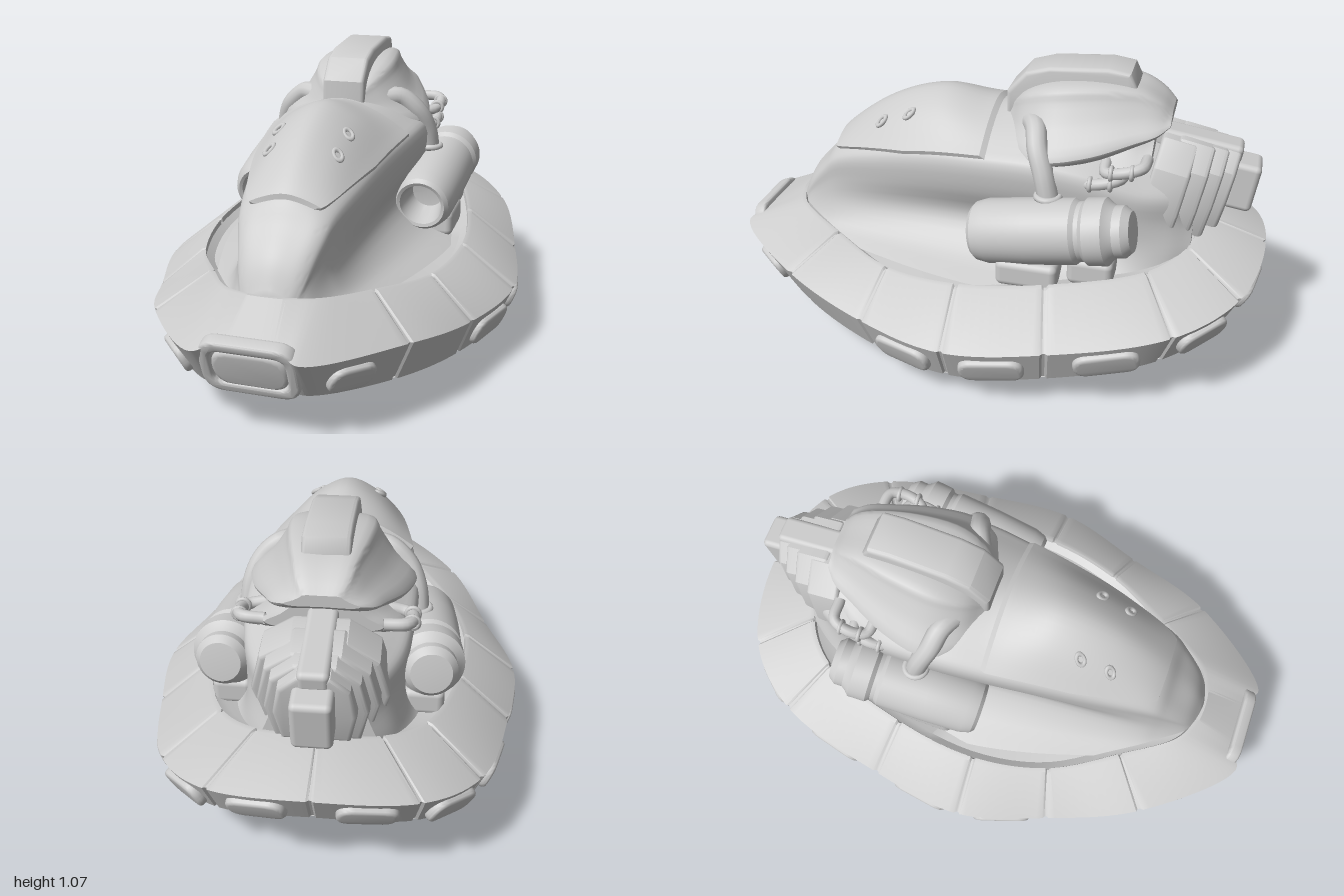
import * as THREE from 'three';
import { toCreasedNormals } from 'three/addons/utils/BufferGeometryUtils.js';
import { RoundedBoxGeometry } from 'three/addons/geometries/RoundedBoxGeometry.js';

const V = (x, y, z) => new THREE.Vector3(x, y, z);
const mat = new THREE.MeshStandardMaterial({ color: 0xcccccc, side: THREE.DoubleSide });
const lerp = THREE.MathUtils.lerp;
const spline = (pts, closed = false) => new THREE.CatmullRomCurve3(pts, closed);

function add(parent, name, geo, pos) {
  const m = new THREE.Mesh(geo, mat);
  m.name = name;
  if (pos) m.position.set(...pos);
  parent.add(m);
  return m;
}

// Skin through equal-length rows of points
function loft(rows, crease = 0.6) {
  const w = rows[0].length, pos = [], idx = [];
  rows.forEach(r => r.forEach(p => pos.push(p.x, p.y, p.z)));
  for (let i = 0; i < rows.length - 1; i++)
    for (let j = 0; j < w - 1; j++) {
      const a = i * w + j, b = a + w;
      idx.push(a, a + 1, b, a + 1, b + 1, b);
    }
  const g = new THREE.BufferGeometry();
  g.setAttribute('position', new THREE.Float32BufferAttribute(pos, 3));
  g.setIndex(idx);
  return toCreasedNormals(g, crease);
}

// Smooth symmetric surface: a half profile per station, mirrored and splined both ways
function surface(stations, halfProfile) {
  const profs = stations.map(s => {
    const h = halfProfile(s).map(([x, y]) => V(x, y, s[0]));
    return [...h, ...h.slice(0, -1).reverse().map(p => V(-p.x, p.y, p.z))];
  });
  const rails = profs[0].map((_, k) => spline(profs.map(p => p[k])));
  return u => spline(rails.map(r => r.getPoint(u)));
}

function skin(section, nu, nv) {
  const rows = [];
  for (let i = 0; i <= nu; i++) rows.push(section(i / nu).getPoints(nv));
  const cap = row => {
    const c = row.reduce((s, p) => s.add(p), V(0, 0, 0)).divideScalar(row.length);
    return row.map(() => c.clone());
  };
  return loft([cap(rows[0]), ...rows, cap(rows[nu])]);
}

function roundedRect(w, h, r, Type = THREE.Shape) {
  const s = new Type(), x = w / 2, y = h / 2;
  s.moveTo(-x + r, -y).lineTo(x - r, -y).quadraticCurveTo(x, -y, x, -y + r);
  s.lineTo(x, y - r).quadraticCurveTo(x, y, x - r, y);
  s.lineTo(-x + r, y).quadraticCurveTo(-x, y, -x, y - r);
  s.lineTo(-x, -y + r).quadraticCurveTo(-x, -y, -x + r, -y);
  return s;
}

const polygon = pts => new THREE.Shape(pts.map(p => new THREE.Vector2(...p)));

function extrude(shape, depth, bevel) {
  return toCreasedNormals(new THREE.ExtrudeGeometry(shape, {
    depth, bevelSize: bevel, bevelThickness: bevel, bevelSegments: 3, curveSegments: 8 }), 0.6);
}

// Skirt edge lines from stern to bow: outer edge, top inner edge, lower edge
const EDGES = [
  [[0, .43, -1], [0, .5, -.76], [0, .3, -.93]],
  [[.34, .39, -.93], [.2, .48, -.73], [.32, .26, -.87]],
  [[.53, .33, -.73], [.34, .45, -.61], [.49, .2, -.69]],
  [[.64, .26, -.32], [.45, .41, -.28], [.59, .12, -.31]],
  [[.68, .23, .03], [.48, .38, .03], [.62, .09, .03]],
  [[.58, .23, .36], [.42, .365, .31], [.53, .09, .33]],
  [[.44, .285, .69], [.28, .39, .55], [.38, .13, .65]],
  [[.17, .315, .99], [.16, .42, .73], [.17, .16, .88]],
  [[.11, .33, .965], [.09, .427, .77], [.1, .165, .885]],
  [[0, .335, .955], [0, .43, .785], [0, .165, .885]],
];
const N = 18;
const LOOP = [...EDGES, ...EDGES.slice(1, -1).reverse().map(e => e.map(([x, y, z]) => [-x, y, z]))];
const [outer, topIn, lower] = [0, 1, 2].map(k => spline(LOOP.map(e => V(...e[k])), true));
const JOINTS = [0, 1, 2, 3, 4, 5, 6, 12, 13, 14, 15, 16, 17, 18];

function skirt(g) {
  // Segmented skirt: cross-sections shrink at each joint to form grooves
  const ts = [];
  JOINTS.forEach((j, i) => {
    ts.push([j - .035, 0], [j - .012, 1], [j + .012, 1], [j + .035, 0]);
    const next = JOINTS[i + 1];
    const n = (next - j) * 10;
    for (let k = 1; k < n; k++) ts.push([lerp(j, next, k / n), 0]);
  });
  const row = ([t, groove]) => {
    const u = ((t + N) % N) / N;
    const M = outer.getPoint(u), T = topIn.getPoint(u), L = lower.getPoint(u);
    const I = V(T.x * .94, T.y - .14, T.z * .94), J = V(L.x * .8, L.y + .04, L.z * .8);
    const c = T.clone().add(M).add(L).add(I).divideScalar(4);
    const T2 = T.clone().lerp(M, .08).add(V(0, .008, 0));
    const M2 = M.clone().lerp(L, .06);
    return [I, T, T2, M, M2, L, J].map(p => p.lerp(c, groove * .06));
  };
  add(g, 'skirt', loft(ts.map(row), .55));

  // Cushions on the lower face of the segments
  const cushion = (t, w, h) => {
    const u = t / N, M = outer.getPoint(u), L = lower.getPoint(u);
    const x = outer.getPoint(u - .008).sub(outer.getPoint(u + .008)).normalize();
    const z = x.clone().cross(M.clone().sub(L)).normalize();
    if (z.x * M.x + z.z * M.z < 0) { z.negate(); x.negate(); }
    const m = add(g, 'skirtCushion', extrude(roundedRect(w, h, h * .48), .012, .014));
    const p = M.lerp(L, .54).addScaledVector(z, -.008);
    m.applyMatrix4(new THREE.Matrix4().makeBasis(x, z.clone().cross(x), z).setPosition(p));
  };
  [.5, 1.5, 2.5, 3.5, 4.5, 6.5].forEach(t => {
    const w = t < 2 ? .17 : t > 6 ? .14 : .2;
    cushion(t, w, .08);
    cushion(N - t, w, .08);
  });

  // Framed bow hatch, lying in the sloping bow face
  const frame = roundedRect(.3, .19, .06);
  frame.holes.push(roundedRect(.265, .155, .05, THREE.Path));
  add(g, 'bowFrame', extrude(frame, .03, .01), [0, .265, .917]).rotation.x = .36;
  add(g, 'bowCushion', extrude(roundedRect(.22, .115, .055), .03, .015), [0, .262, .905]).rotation.x = .36;
}

function hull(g) {
  // Underside: a bowl, longer than wide, with a raised centre
  const bowl = z => .25 * (z - .1) ** 2;
  const rows = [.995, .93, .87, .8, .74, .68, .62, .5, .38, .25, .12, 0].map(s => {
    const sz = s > .62 ? 1 - (1 - s) / 2 : s * .81 / .62;
    const r = [];
    for (let i = 0; i <= 96; i++) {
      const p = lower.getPoint((i % 96) / 96);
      const x = p.x * s, z = p.z * sz;
      const k = THREE.MathUtils.smoothstep(.98 - s, .02, .36);
      const arch = s < .62 ? .07 * (1 - (s / .62) ** 2) : 0;
      r.push(V(x, lerp(p.y + .004, bowl(z), k) + arch, z));
    }
    return r;
  });
  add(g, 'hullBottom', loft(rows, 1));
  const deck = [1, .94, .5, 0].map((s, i) => Array.from({ length: 97 }, (_, k) => {
    const p = topIn.getPoint((k % 96) / 96);
    return V(p.x * s, [p.y - .015, p.y - .035, .36, .36][i], p.z * s);
  }));
  add(g, 'deck', loft(deck));
}

function body(g) {
  // Stations: z, base half-width, waist, shoulder, shoulder height, top height
  const st = [[.79, .14, .11, .08, .39, .43], [.74, .18, .13, .11, .49, .53], [.66, .23, .155, .14, .59, .62],
    [.6, .26, .17, .16, .645, .7], [.4, .33, .19, .205, .705, .845], [.2, .39, .205, .24, .745, .907],
    [0, .43, .22, .27, .77, .88], [-.2, .44, .235, .29, .78, .9], [-.4, .42, .255, .285, .75, .88],
    [-.55, .37, .27, .26, .7, .82], [-.66, .3, .24, .21, .68, .78], [-.74, .22, .19, .15, .66, .74]];
  const sec = surface(st, ([, b, w, s, sy, top]) => [
    [b, .35], [lerp(b, w, .6), .34 + (sy - .34) * .15], [w, .34 + (sy - .34) * .38],
    [lerp(w, s, .85), .34 + (sy - .34) * .68], [s, sy - .02], [s * .84, lerp(sy, top, .17)],
    [s * .45, lerp(sy, top, .72)], [0, top]]);
  add(g, 'body', skin(sec, 60, 56));

  // Canopy: raised plate following the top of the body
  const rows = [];
  for (let i = 0; i <= 30; i++) {
    const a = i / 30, c = sec(lerp(2.85, 6.1, a) / 11), r = [];
    const half = lerp(.1, .2, Math.sqrt(Math.min(1, a * 2)));
    for (let j = 0; j <= 24; j++) {
      const p = c.getPoint(.5 + half * (j / 12 - 1));
      const edge = i === 0 || i === 30 || j === 0 || j === 24 ? -.004 : .013;
      r.push(p.addScaledVector(V(p.x, p.y - .6, .05).normalize(), edge));
    }
    rows.push(r);
  }
  add(g, 'canopy', loft(rows, .5));
  for (const s of [1, -1]) for (const [u, v] of [[4.5, .085], [3.95, .09]]) {
    const p = sec(u / 11).getPoint(.5 - s * v), n = V(p.x, p.y - .6, .12).normalize();
    p.addScaledVector(n, .014);
    const port = add(g, 'canopyPort', new THREE.TorusGeometry(.018, .008, 8, 16), p.toArray());
    port.lookAt(p.add(n));
    port.scale.set(.8, 1.2, 1);
  }

  // Engine cowl and collar below it: z, half-width, base height, top height
  const cowl = list => skin(surface(list, ([, w, b, t]) => [[0, b], [w * .85, b], [w, lerp(b, t, .15)],
    [w * .73, lerp(b, t, .5)], [w * .56, lerp(b, t, .8)], [w * .48, lerp(b, t, .97)], [0, t]]), 28, 48);
  add(g, 'engineCowl', cowl([[-.06, .13, .8, .9], [-.12, .23, .76, .96], [-.22, .285, .75, 1],
    [-.38, .26, .78, 1.015], [-.52, .2, .83, 1], [-.59, .165, .86, .965], [-.63, .12, .89, .93]]));
  add(g, 'engineCollar', cowl([[-.18, .28, .7, .85], [-.36, .28, .69, .88], [-.5, .25, .73, .89], [-.58, .19, .78, .87]]));
  const spine = polygon([[.06, .86], [.06, .94], [.12, 1.01], [.2, 1.035], [.4, 1.05], [.47, 1.04], [.49, 1], [.49, .86]]);
  add(g, 'engineSpine', extrude(spine, .13, .015), [-.065, 0, 0]).rotation.y = Math.PI / 2;
}

function tail(g) {
  // Overlapping tapered tail plates, narrowing toward the stern
  [[.42, .34, .1, .64, -.68], [.36, .32, .1, .645, -.74], [.3, .29, .09, .65, -.79], [.23, .25, .08, .66, -.835]]
    .forEach(([w, h, d, y, z]) => {
      const half = [[.2, .5], [.42, .3], [.5, -.1], [.42, -.5]].map(([a, b]) => [a * w, b * h]);
      const outline = polygon([...half, ...half.map(([x, t]) => [-x, t]).reverse()]);
      add(g, 'tailPlate', extrude(outline, d, .015), [0, y, z]).rotation.x = -.2;
    });
  add(g, 'tailBlock', new RoundedBoxGeometry(.13, .18, .1, 3, .02), [0, .665, -.89]).rotation.x = -.14;
  add(g, 'tailRidge', new RoundedBoxGeometry(.1, .07, .32, 3, .02), [0, .8, -.72]).rotation.x = -.15;
}

function sideParts(g, s) {
  const side = new THREE.Group();
  side.name = s > 0 ? 'leftSide' : 'rightSide';
  g.add(side);
  // Thruster pod: radius and distance from the front lip
  const prof = [[0, .12], [.06, .11], [.075, .03], [.08, 0], [.092, -.004], [.105, .01], [.115, .05], [.118, .2],
    [.115, .37], [.104, .385], [.104, .4], [.117, .415], [.117, .48], [.1, .495], [.09, .51], [.09, .54], [.07, .565], [0, .57]];
  const pod = add(side, 'thrusterPod', toCreasedNormals(
    new THREE.LatheGeometry(prof.map(p => new THREE.Vector2(...p)), 40), .5), [s * .315, .505, 0]);
  pod.quaternion.setFromUnitVectors(V(0, 1, 0), V(s * .035, .1, -.55).normalize());
  add(side, 'podMount', new RoundedBoxGeometry(.16, .1, .22, 3, .025), [s * .34, .405, -.2]);
  add(side, 'podMountRear', new RoundedBoxGeometry(.14, .1, .16, 3, .025), [s * .33, .44, -.42]);

  // Exhaust pipe and small looped hoses
  const tube = (name, pts, r) =>
    add(side, name, new THREE.TubeGeometry(spline(pts.map(([x, y, z]) => V(s * x, y, z))), 24, r, 12));
  tube('exhaustPipe', [[.13, .87, -.15], [.19, .87, -.18], [.25, .82, -.2], [.285, .745, -.23], [.3, .62, -.26]], .038);
  add(side, 'pipeCollar', new THREE.TorusGeometry(.039, .012, 10, 20), [s * .297, .67, -.25]).rotation.x = Math.PI / 2;
  for (const [y, z] of [[.73, -.36], [.78, -.43]]) {
    tube('hose', [[.2, y, z], [.265, y - .01, z - .01], [.285, y + .005, z - .07], [.265, y + .02, z - .13], [.19, y + .02, z - .14]], .02);
    for (const d of [.03, .1])
      add(side, 'hoseRing', new THREE.TorusGeometry(.021, .008, 8, 16), [s * .28, y + (d - .05) * .15, z - d]);
  }
}

export function createModel() {
  const g = new THREE.Group();
  g.name = 'hoverCraft';
  skirt(g);
  hull(g);
  body(g);
  tail(g);
  sideParts(g, 1);
  sideParts(g, -1);
  return g;
}
